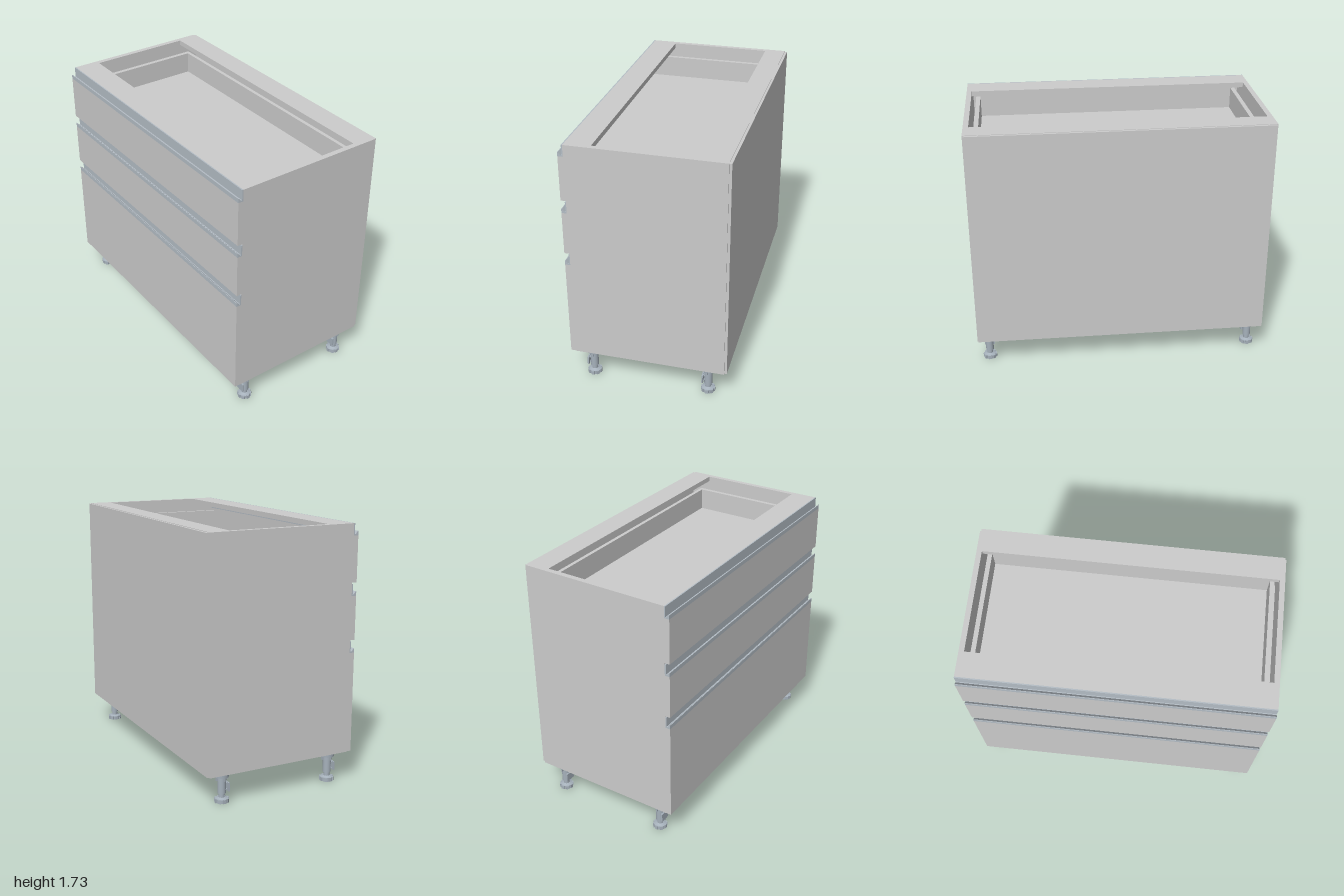
import * as THREE from 'three';

const grey = new THREE.MeshStandardMaterial({ color: 0xcccccc });
const metal = new THREE.MeshStandardMaterial({ color: 0xb4bdc5 });
const legMat = new THREE.MeshStandardMaterial({ color: 0xa6b1bb });
const legFlat = new THREE.MeshStandardMaterial({ color: 0xa6b1bb, flatShading: true });

// Box given by its minimum and maximum on each axis
function box(parent, name, [x0, x1], [y0, y1], [z0, z1], mat = grey) {
  const m = new THREE.Mesh(new THREE.BoxGeometry(x1 - x0, y1 - y0, z1 - z0), mat);
  m.position.set((x0 + x1) / 2, (y0 + y1) / 2, (z0 + z1) / 2);
  m.name = name;
  parent.add(m);
  return m;
}

// Extrude a (z, y) outline across the width of the cabinet
function acrossWidth(parent, name, points, mat) {
  const shape = new THREE.Shape(points.map(([z, y]) => new THREE.Vector2(z, y)));
  const geo = new THREE.ExtrudeGeometry(shape, { depth: 2, bevelEnabled: false });
  geo.rotateY(-Math.PI / 2).translate(1, 0, 0);
  const m = new THREE.Mesh(geo, mat);
  m.name = name;
  parent.add(m);
}

const BOTTOM = 0.205, TOP = 1.725, T = 0.035, INNER = 1 - T;

function createCarcass() {
  const g = new THREE.Group();
  g.name = 'carcass';
  box(g, 'rightSide', [-1, -INNER], [BOTTOM, TOP], [-0.515, 0.5]);
  box(g, 'leftSide', [INNER, 1], [BOTTOM, TOP], [-0.515, 0.5]);
  box(g, 'floorPanel', [-INNER, INNER], [BOTTOM, BOTTOM + T], [-0.515, 0.5]);
  box(g, 'backRail', [-INNER, INNER], [TOP - T, TOP], [-0.515, -0.37]);
  box(g, 'frontRail', [-INNER, INNER], [TOP - T, TOP], [0.33, 0.5]);
  // Back panel, slightly inset so its edge reads as a fine step
  box(g, 'backPanel', [-0.993, 0.993], [BOTTOM + 0.004, TOP - 0.003], [-0.532, -0.515]);
  return g;
}

// Open drawer box with a front slab and a recessed grip profile
function createDrawer(frontBottom, frontTop, floorY, rimY) {
  const g = new THREE.Group();
  g.name = 'drawer';
  const zb = -0.43, zf = 0.5;
  for (const s of [-1, 1]) {
    const xs = [s * 0.915, s * 0.945].sort((a, b) => a - b);
    box(g, 'drawerSide', xs, [floorY - 0.03, rimY], [zb, zf]);
    const rs = [s * 0.945, s * INNER].sort((a, b) => a - b);
    box(g, 'runner', rs, [floorY - 0.03, floorY + 0.03], [zb, 0.48]);
  }
  box(g, 'drawerBack', [-0.915, 0.915], [floorY - 0.03, rimY], [zb, zb + 0.025]);
  box(g, 'drawerBottom', [-0.915, 0.915], [floorY - 0.03, floorY], [zb + 0.025, zf]);

  const t = frontTop;
  box(g, 'drawerFront', [-1, 1], [frontBottom, t - 0.078], [0.5, 0.535]);
  acrossWidth(g, 'gripProfile', [
    [0.5, t - 0.078], [0.535, t - 0.078], [0.535, t - 0.05], [0.531, t - 0.05],
    [0.514, t - 0.069], [0.508, t - 0.069], [0.508, t], [0.5, t],
  ], metal);
  return g;
}

function createLeg() {
  const g = new THREE.Group();
  g.name = 'leg';
  // Foot, adjustable stem, sleeve and mounting flange
  const profile = [
    [0, 0], [0.042, 0], [0.042, 0.026], [0.03, 0.03], [0.02, 0.034], [0.02, 0.06],
    [0.027, 0.06], [0.027, 0.145], [0.03, 0.145], [0.03, 0.168], [0.046, 0.172],
    [0.048, 0.205], [0, 0.205],
  ];
  // Repeating each inner point keeps the turned edges crisp
  const pts = profile.flatMap(([r, y], i) => {
    const n = i > 0 && i < profile.length - 1 ? 2 : 1;
    return Array.from({ length: n }, () => new THREE.Vector2(r, y));
  });
  for (let i = 0; i < pts.length - 1; i += 2) {
    const part = new THREE.Mesh(new THREE.LatheGeometry([pts[i], pts[i + 1]], 24), legMat);
    part.name = 'legTurning';
    g.add(part);
  }
  // Grip lugs around the foot and ribs under the flange
  for (let i = 0; i < 8; i++) {
    const a = (i / 8) * Math.PI * 2;
    const lug = new THREE.Mesh(new THREE.BoxGeometry(0.02, 0.026, 0.01), legFlat);
    lug.position.set(Math.sin(a) * 0.042, 0.014, Math.cos(a) * 0.042);
    lug.rotation.y = a;
    lug.name = 'footLug';
    g.add(lug);
    if (i % 2 === 0) {
      const rib = new THREE.Mesh(new THREE.BoxGeometry(0.008, 0.022, 0.016), legFlat);
      rib.position.set(Math.sin(a) * 0.035, 0.16, Math.cos(a) * 0.035);
      rib.rotation.y = a;
      rib.name = 'flangeRib';
      g.add(rib);
    }
  }
  // Plinth clip on the front of the sleeve
  box(g, 'clipPlate', [-0.035, 0.035], [0.075, 0.132], [0.03, 0.04], legFlat);
  for (const y of [0.08, 0.12]) {
    box(g, 'clipArm', [-0.02, 0.02], [y, y + 0.008], [0.02, 0.031], legFlat);
  }
  return g;
}

export function createModel() {
  const model = new THREE.Group();
  model.name = 'drawerCabinet';
  model.add(createCarcass());
  // Front bottom, front top, box floor, box rim
  const drawers = [
    [1.346, 1.725, 1.48, 1.63],
    [0.968, 1.337, 1.1, 1.25],
    [0.207, 0.961, 0.34, 0.72],
  ];
  for (const d of drawers) model.add(createDrawer(...d));
  for (const x of [-0.925, 0.925]) {
    for (const z of [-0.395, 0.4]) {
      const leg = createLeg();
      leg.position.set(x, 0, z);
      model.add(leg);
    }
  }
  return model;
}
